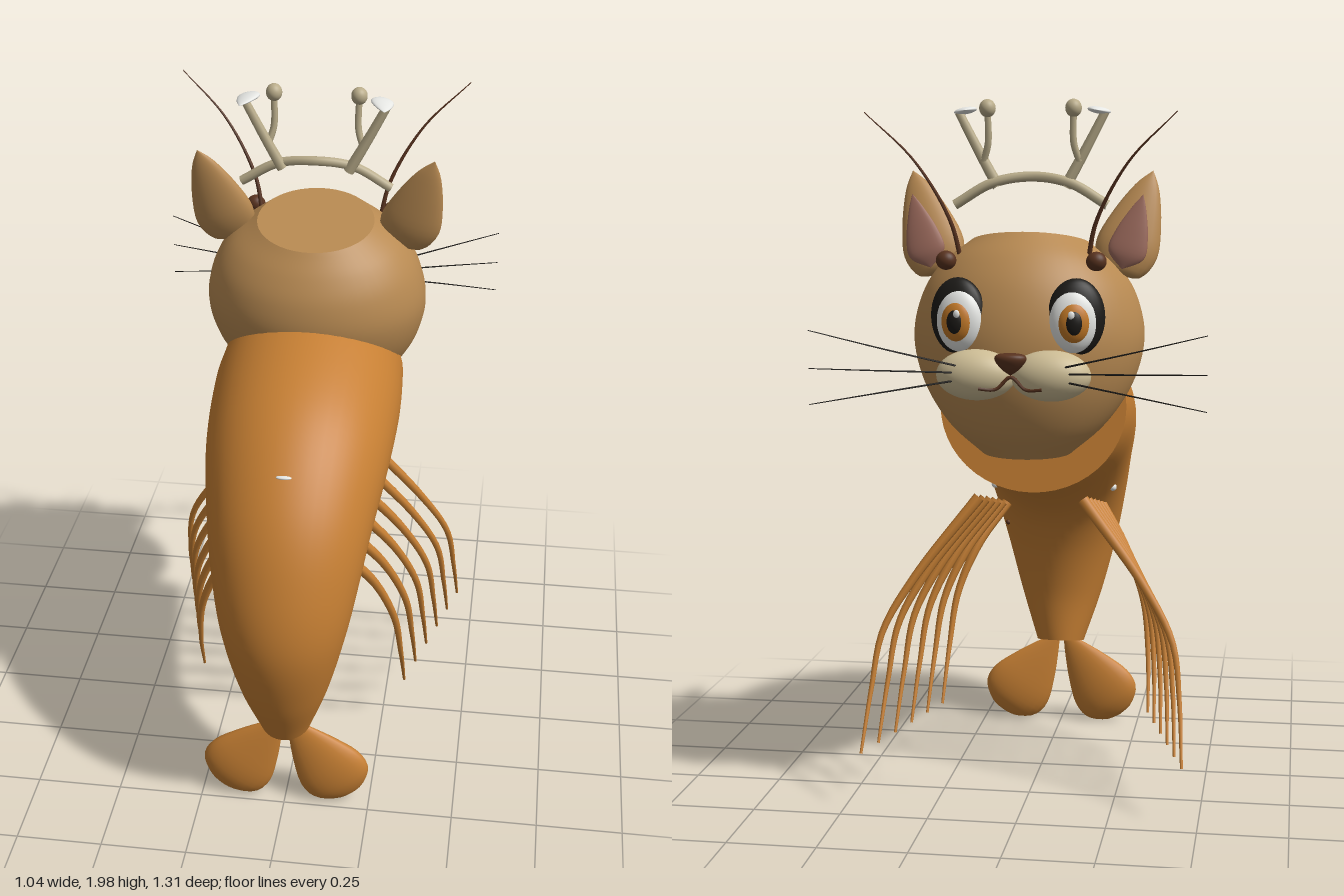
import * as THREE from 'three';

const mat = (name, color) => Object.assign(new THREE.MeshStandardMaterial({ color }), { name });
const V = (x, y, z) => new THREE.Vector3(x, y, z);

// Skin over tilted elliptical rings [y, z, tilt in degrees, half width, half depth], closed at both ends
function loft(rings, steps, seg = 48) {
  const path = new THREE.CatmullRomCurve3(rings.map(r => V(r[0], r[1], r[2] * Math.PI / 180)), false, 'catmullrom');
  const size = new THREE.CatmullRomCurve3(rings.map(r => V(r[3], r[4], 0)), false, 'catmullrom');
  const pos = [], idx = [];
  const addRing = t => {
    const p = path.getPoint(t), s = size.getPoint(t);
    for (let j = 0; j < seg; j++) {
      const a = j / seg * Math.PI * 2, d = Math.sin(a) * s.y;
      pos.push(Math.cos(a) * s.x, p.x + Math.sin(p.z) * d, p.y - Math.cos(p.z) * d);
    }
    return p;
  };
  for (let i = 0; i <= steps; i++) addRing(i / steps);
  for (let i = 0; i < steps; i++) for (let j = 0; j < seg; j++) {
    const a = i * seg + j, b = i * seg + (j + 1) % seg;
    idx.push(a, b, a + seg, b, b + seg, a + seg);
  }
  for (const t of [0, 1]) {
    const base = pos.length / 3, p = addRing(t);
    pos.push(0, p.x, p.y);
    for (let j = 0; j < seg; j++) {
      const a = base + j, b = base + (j + 1) % seg;
      idx.push(...(t ? [a, b, base + seg] : [b, a, base + seg]));
    }
  }
  const g = new THREE.BufferGeometry();
  g.setAttribute('position', new THREE.Float32BufferAttribute(pos, 3));
  g.setIndex(idx);
  g.computeVertexNormals();
  return g;
}

// Round tube that narrows from r0 to r1
function taperTube(points, r0, r1, n = 24, sides = 8) {
  const curve = new THREE.CatmullRomCurve3(points.map(p => V(...p)));
  const g = new THREE.TubeGeometry(curve, n, 1, sides);
  const pos = g.attributes.position, v = V(0, 0, 0);
  for (let i = 0; i < pos.count; i++) {
    const t = Math.floor(i / (sides + 1)) / n, c = curve.getPointAt(t);
    v.fromBufferAttribute(pos, i).sub(c).multiplyScalar(r0 + (r1 - r0) * t).add(c);
    pos.setXYZ(i, v.x, v.y, v.z);
  }
  return g;
}

// Smooth spindle from a few [radius, height] points
const spindle = pts => new THREE.LatheGeometry(
  new THREE.SplineCurve(pts.map(p => new THREE.Vector2(...p))).getPoints(20).map(p => p.setX(Math.max(p.x, 0))), 24);

export function createModel() {
  const root = new THREE.Group();
  root.name = 'creature';
  const orange = mat('body orange', 0xc67f33), tan = mat('head tan', 0xb88a52), cream = mat('muzzle cream', 0xcdbd95),
    horn = mat('antler beige', 0xb9ac8a), white = mat('white', 0xe6e7e4), black = mat('black', 0x1c1a17),
    brown = mat('dark brown', 0x59331f), pink = mat('inner ear pink', 0x9c6a5c), amber = mat('iris amber', 0xc47a28);

  const add = (name, geo, m, parent = root) => {
    const mesh = new THREE.Mesh(geo, m);
    mesh.name = name;
    parent.add(mesh);
    return mesh;
  };
  const ball = (name, m, p, s, parent) => {
    const b = add(name, new THREE.SphereGeometry(1, 28, 20), m, parent);
    b.position.set(...p);
    b.scale.set(...s);
    return b;
  };
  // Places a +y pointing spindle at a, aimed at b
  const aim = (mesh, a, b) => {
    mesh.position.set(...a);
    mesh.quaternion.setFromUnitVectors(V(0, 1, 0), V(...b).sub(V(...a)).normalize());
    return mesh;
  };

  // Curved body from tail to neck
  add('body', loft([
    [0.29, 0.44, 12, 0.075, 0.083], [0.455, 0.475, 7, 0.13, 0.125], [0.64, 0.48, -3, 0.178, 0.17],
    [0.795, 0.437, -23, 0.21, 0.19], [0.925, 0.35, -44, 0.235, 0.212], [1.04, 0.2, -65, 0.262, 0.235],
    [1.11, -0.005, -82, 0.275, 0.247], [1.14, -0.17, -83, 0.268, 0.247],
  ], 56), orange);

  // Head, cut flat above and below
  add('head', loft([
    [1.027, -0.28, -4, 0.125, 0.1], [1.11, -0.268, -2, 0.22, 0.18], [1.22, -0.25, 0, 0.292, 0.243],
    [1.34, -0.238, 3, 0.323, 0.268], [1.45, -0.227, 7, 0.305, 0.252], [1.535, -0.215, 11, 0.255, 0.21],
    [1.602, -0.2, 15, 0.17, 0.152],
  ], 36), tan);

  // Small studs along the back
  for (const [y, z] of [[1.125, 0.455], [0.96, 0.562]]) ball('backStud', white, [0, y, z], [0.022, 0.005, 0.008]);

  for (const s of [-1, 1]) {
    const side = new THREE.Group();
    side.name = s > 0 ? 'leftSide' : 'rightSide';
    root.add(side);
    const M = p => [s * p[0], p[1], p[2]];

    // Tail fin
    const fin = aim(add('tailFin', spindle([[0, 0], [0.035, 0.06], [0.075, 0.14], [0.105, 0.22], [0.098, 0.28], [0.05, 0.32], [0, 0.33]]),
      orange, side), M([0.005, 0.31, 0.462]), M([0.195, 0.04, 0.455]));
    fin.scale.z = 0.38;

    // Six swimming legs
    for (let i = 0; i < 6; i++) {
      const z = -0.21 + 0.099 * i;
      add('leg', taperTube([
        [0.15, 0.88 - 0.022 * i, z], [0.33 - 0.02 * i, 0.65, z - 0.06], [0.415 - 0.025 * i, 0.5, z - 0.1],
        [0.44 - 0.026 * i, 0.34, z - 0.145], [0.453 - 0.027 * i, 0.175, z - 0.225],
      ].map(M), 0.017, 0.004), orange, side);
    }

    // Side studs
    ball('sideStud', white, M([0.185, 0.83, 0.27]), [0.012, 0.012, 0.012], side);
    ball('sideStud', brown, M([0.16, 0.69, 0.365]), [0.008, 0.008, 0.008], side);

    // Ear with inner ear
    const ear = aim(add('ear', spindle([[0, 0], [0.06, 0.005], [0.088, 0.07], [0.07, 0.16], [0.035, 0.25], [0, 0.3]]),
      tan, side), M([0.25, 1.525, -0.245]), M([0.342, 1.815, -0.18]));
    ear.scale.z = 0.45;
    const inner = aim(add('innerEar', spindle([[0, 0], [0.05, 0.04], [0.045, 0.1], [0.02, 0.17], [0, 0.21]]),
      pink, side), M([0.265, 1.54, -0.305]), M([0.32, 1.74, -0.28]));
    inner.scale.z = 0.25;

    // Layered eye
    const eye = new THREE.Group();
    eye.name = 'eye';
    eye.position.set(s * 0.155, 1.42, -0.455);
    eye.rotation.y = -s * 0.18;
    side.add(eye);
    ball('eyeRim', black, [s * 0.004, 0, 0], [0.078, 0.104, 0.038], eye);
    ball('eyeWhite', white, [-s * 0.004, -0.01, -0.016], [0.064, 0.084, 0.035], eye);
    ball('iris', amber, [-s * 0.004, -0.012, -0.034], [0.044, 0.056, 0.024], eye);
    ball('pupil', black, [-s * 0.004, -0.012, -0.047], [0.025, 0.035, 0.015], eye);
    ball('eyeGlint', white, [-s * 0.012, 0.01, -0.058], [0.009, 0.011, 0.005], eye);

    // Muzzle, whiskers, brow dot and feeler
    ball('muzzle', cream, M([0.1, 1.27, -0.52]), [0.108, 0.068, 0.064], side);
    for (const [y, tip] of [[1.295, 1.395], [1.28, 1.295], [1.262, 1.2]])
      add('whisker', taperTube([[0.13, y, -0.565], [0.33, (y + tip) / 2, -0.615], [0.52, tip, -0.655]].map(M), 0.003, 0.0012, 10, 5), black, side);
    ball('browDot', brown, M([0.205, 1.565, -0.388]), [0.028, 0.026, 0.024], side);
    add('feeler', taperTube([[0.175, 1.56, -0.325], [0.2, 1.67, -0.35], [0.29, 1.83, -0.385], [0.42, 1.96, -0.415]].map(M), 0.007, 0.0012, 20, 6), brown, side);

    // Antler branch, leaf and knobbed prong
    add('antlerBranch', taperTube([[0.095, 1.76, -0.19], [0.15, 1.86, -0.19], [0.205, 1.965, -0.19]].map(M), 0.016, 0.012), horn, side);
    add('antlerProng', taperTube([[0.135, 1.83, -0.195], [0.12, 1.88, -0.205], [0.12, 1.97, -0.212]].map(M), 0.01, 0.009), horn, side);
    ball('antlerKnob', horn, M([0.12, 1.975, -0.213]), [0.023, 0.025, 0.023], side);
    const leaf = aim(add('antlerLeaf', spindle([[0, 0], [0.026, 0.025], [0.032, 0.05], [0.02, 0.09], [0, 0.125]]),
      white, side), M([0.18, 1.97, -0.228]), M([0.2, 1.968, -0.105]));
    leaf.scale.z = 0.3;
  }

  // Antler band over the head
  add('antlerBand', taperTube([[-0.215, 1.71, -0.205], [-0.11, 1.77, -0.2], [0, 1.788, -0.185], [0.11, 1.77, -0.2], [0.215, 1.71, -0.205]], 0.014, 0.014, 40), horn);

  // Nose and mouth
  const nose = add('nose', spindle([[0, 0], [0.022, 0.015], [0.042, 0.04], [0.035, 0.055], [0, 0.06]]), brown);
  nose.position.set(0, 1.275, -0.567);
  nose.scale.z = 0.6;
  add('mouth', taperTube([[-0.085, 1.24, -0.576], [-0.04, 1.238, -0.565], [0, 1.27, -0.562], [0.04, 1.238, -0.565], [0.085, 1.24, -0.576]], 0.005, 0.005, 30, 6), brown);

  return root;
}
